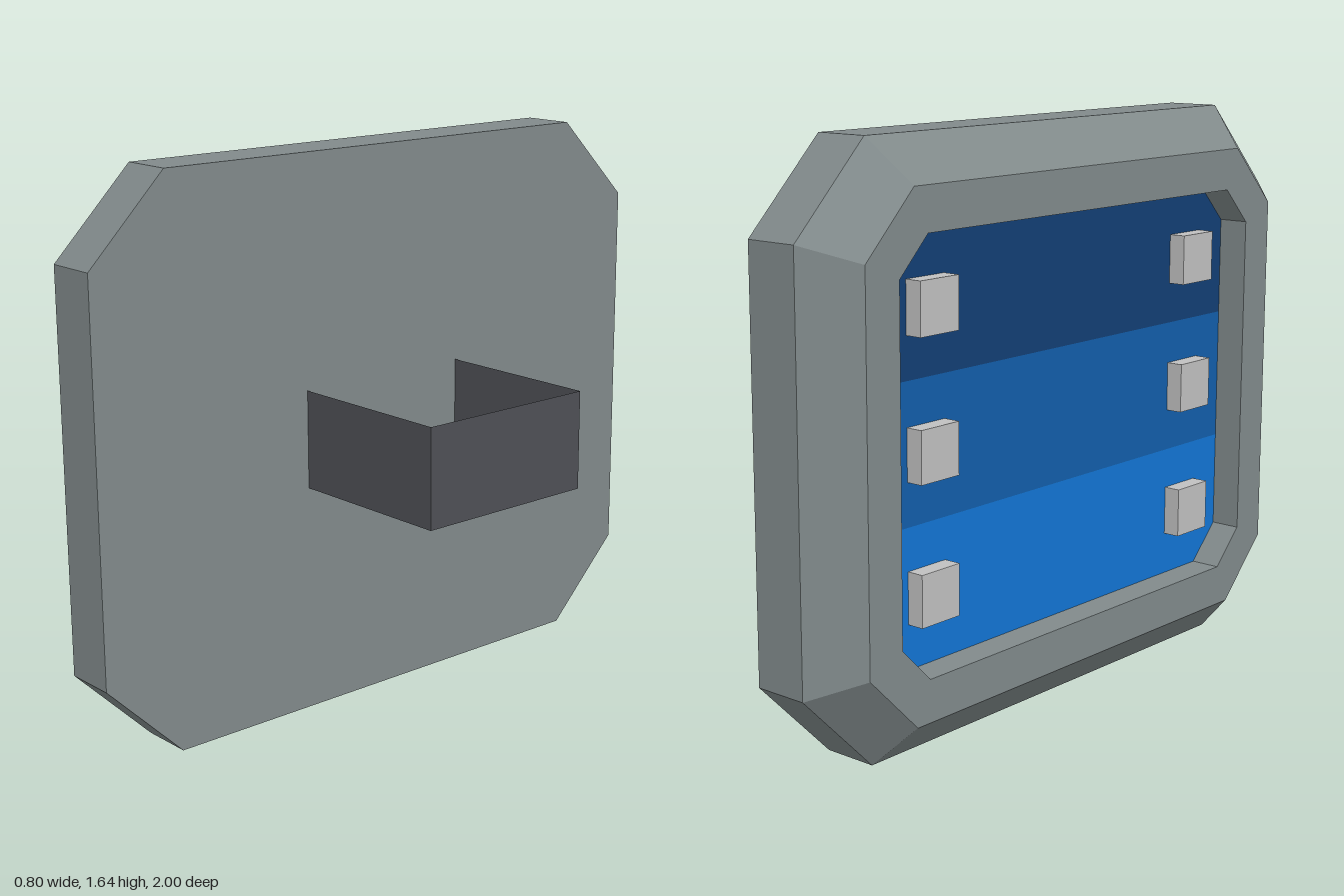
import * as THREE from 'three';

const MID = 0.8225;      // height of the centre
const FLOOR = -0.31;     // x of the recessed panel

const mat = (name, color, side = THREE.FrontSide) => {
  const m = new THREE.MeshStandardMaterial({ color, side });
  m.name = name;
  return m;
};

// Chamfered rectangle as [z, y] points, inset evenly from the outer outline
function octagon(inset) {
  const w = 1 - inset, h = MID - inset, c = 0.245 - inset * (2 - Math.SQRT2);
  return [
    [w, c - h], [w, h - c], [w - c, h], [c - w, h],
    [-w, h - c], [-w, c - h], [c - w, -h], [w - c, -h],
  ].map(([z, y]) => [z, y + MID]);
}

// Flat-shaded shell lofted through [x, inset] rings, closed at the first ring
function loftShell(sections) {
  const rings = sections.map(([x, inset]) => octagon(inset).map(([z, y]) => [x, y, z]));
  const pos = [];
  const tri = (a, b, c) => pos.push(...a, ...b, ...c);
  for (let r = 0; r < rings.length - 1; r++) {
    const a = rings[r], b = rings[r + 1];
    for (let i = 0; i < 8; i++) {
      const j = (i + 1) % 8;
      tri(a[i], a[j], b[j]);
      tri(a[i], b[j], b[i]);
    }
  }
  for (let i = 1; i < 7; i++) tri(rings[0][0], rings[0][i + 1], rings[0][i]);
  const g = new THREE.BufferGeometry();
  g.setAttribute('position', new THREE.Float32BufferAttribute(pos, 3));
  g.computeVertexNormals();
  return g;
}

export function createModel() {
  const model = new THREE.Group();
  const frameGrey = mat('frame grey', 0x818a8b);
  const handleGrey = mat('dark handle grey', 0x4e5055, THREE.DoubleSide);
  const padGrey = mat('light pad grey', 0xc0c0c0);
  const blues = [
    mat('light blue', 0x1275d4),
    mat('medium blue', 0x125eaa),
    mat('dark blue', 0x123f75),
  ];

  const add = (name, geometry, material, x = 0, y = 0, z = 0, parent = model) => {
    const m = new THREE.Mesh(geometry, material);
    m.name = name;
    m.position.set(x, y, z);
    parent.add(m);
    return m;
  };

  // Frame with bevelled rim and recess
  add('frame', loftShell([[-0.12, 0], [-0.28, 0], [-0.4, 0.12], [-0.4, 0.24], [FLOOR, 0.24]]), frameGrey);

  // Recessed panel: three bands, the outer two with cut corners
  const w = 0.76, h = MID - 0.24, c = 0.245 - 0.24 * (2 - Math.SQRT2), t = h / 3;
  const bands = [
    [[c - w, -h], [w - c, -h], [w, c - h], [w, -t], [-w, -t], [-w, c - h]],
    [[-w, -t], [w, -t], [w, t], [-w, t]],
    [[-w, t], [w, t], [w, h - c], [w - c, h], [c - w, h], [-w, h - c]],
  ];
  ['lowerBand', 'middleBand', 'upperBand'].forEach((name, i) => {
    const shape = new THREE.Shape(bands[i].map(([z, y]) => new THREE.Vector2(z, y)));
    add(name, new THREE.ShapeGeometry(shape), blues[i], FLOOR, MID, 0).rotation.y = -Math.PI / 2;
  });

  // Two columns of three square pads
  const padGeometry = new THREE.BoxGeometry(0.05, 0.145, 0.145);
  for (const z of [-0.57, 0.57]) {
    for (const row of [-1, 0, 1]) {
      add('pad', padGeometry, padGrey, FLOOR - 0.025, MID + row * 0.385, z);
    }
  }

  // Thin strap handle behind the frame
  const handle = new THREE.Group();
  handle.name = 'handle';
  model.add(handle);
  const armGeometry = new THREE.PlaneGeometry(0.52, 0.29);
  for (const z of [-0.287, 0.287]) add('handleArm', armGeometry, handleGrey, 0.14, MID, z, handle);
  add('handleGrip', new THREE.PlaneGeometry(0.574, 0.29), handleGrey, 0.4, MID, 0, handle).rotation.y = Math.PI / 2;

  return model;
}
